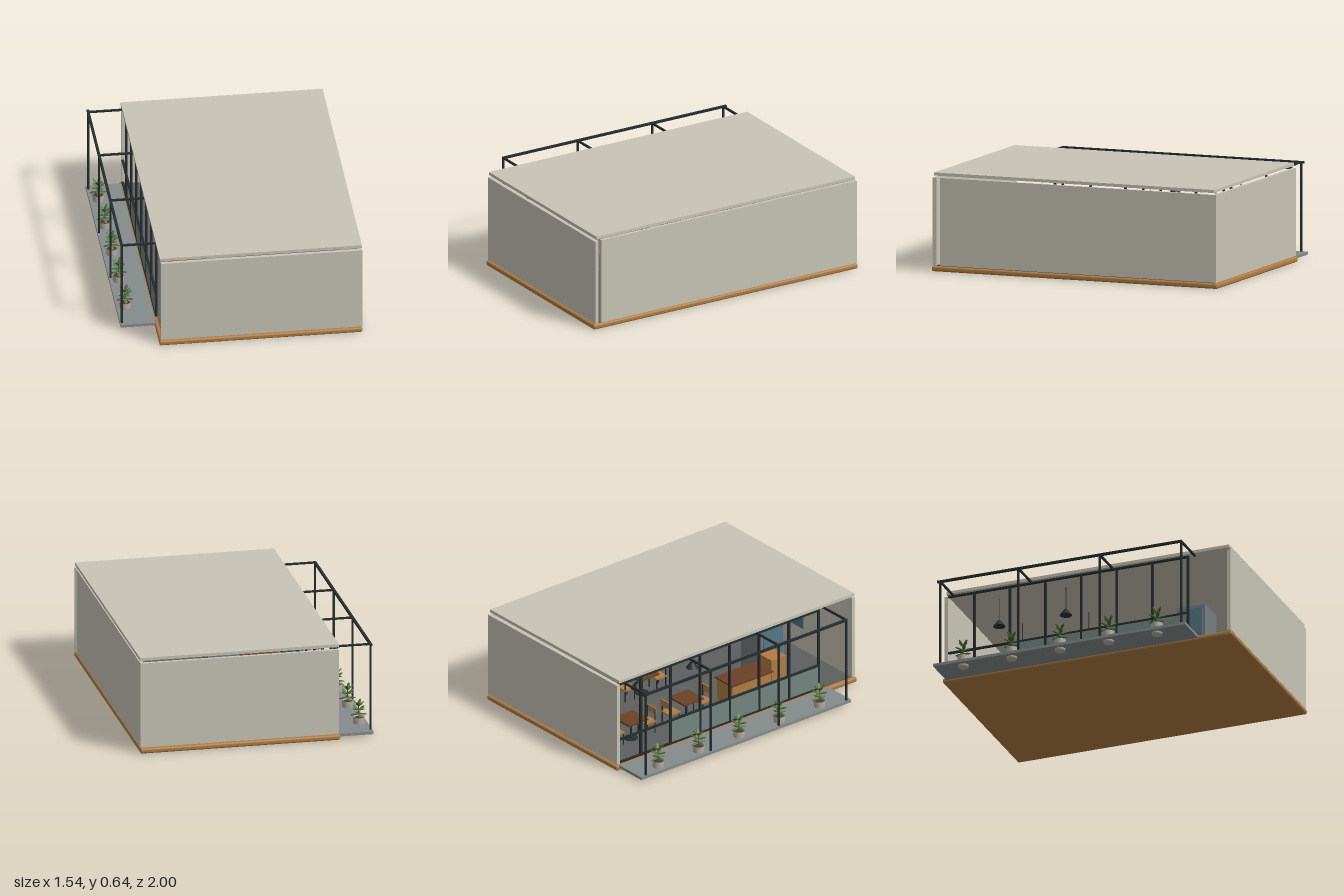
import * as THREE from 'three';
import { RoundedBoxGeometry } from 'three/addons/geometries/RoundedBoxGeometry.js';

const mat = (color) => new THREE.MeshStandardMaterial({ color });
const M = {
  wall: mat(0xc8c4b6), wood: mat(0xb07c42), steel: mat(0x262c2e), slab: mat(0x858c8c), floor: mat(0x5d5f5e),
  glass: mat(0x75857f), pot: mat(0xb8aea2), soil: mat(0x4a3a2c), leaf: mat(0x5f7f45), leafDark: mat(0x47643a),
  walnut: mat(0x6b4126), blue: mat(0x557785), grey: mat(0x777d7f),
};

function add(parent, name, geometry, material, x = 0, y = 0, z = 0) {
  const m = new THREE.Mesh(geometry, material);
  m.name = name;
  m.position.set(x, y, z);
  parent.add(m);
  return m;
}

// Box given by its lower and upper limits on each axis
function block(parent, name, material, [x0, x1], [y0, y1], [z0, z1]) {
  return add(parent, name, new THREE.BoxGeometry(x1 - x0, y1 - y0, z1 - z0), material,
    (x0 + x1) / 2, (y0 + y1) / 2, (z0 + z1) / 2);
}

function group(parent, name, x = 0, y = 0, z = 0, turn = 0) {
  const g = new THREE.Group();
  g.name = name;
  g.position.set(x, y, z);
  g.rotation.y = turn;
  parent.add(g);
  return g;
}

function pottedPlant(parent, x, z) {
  const g = group(parent, 'pottedPlant', x, 0, z);
  const profile = [[0, 0], [0.031, 0], [0.034, 0.012], [0.039, 0.078], [0.035, 0.078], [0.034, 0.068], [0, 0.068]]
    .map(([r, y]) => new THREE.Vector2(r, y));
  add(g, 'pot', new THREE.LatheGeometry(profile, 24), M.pot);
  add(g, 'soil', new THREE.CylinderGeometry(0.034, 0.034, 0.004, 20), M.soil, 0, 0.068, 0);
  add(g, 'stem', new THREE.CylinderGeometry(0.003, 0.004, 0.1, 8), M.leafDark, 0, 0.115, 0);
  for (let i = 0; i < 12; i++) {
    const tier = Math.floor(i / 4);
    const leaf = new THREE.SphereGeometry(1, 10, 6);
    leaf.scale(0.027, 0.004, 0.011);
    leaf.translate(0.029, 0, 0);
    leaf.rotateZ([-0.15, 0.35, 0.85][tier]);
    leaf.rotateY(i * Math.PI / 2 + tier * 0.55);
    add(g, 'leaf', leaf, i % 2 ? M.leaf : M.leafDark, 0, 0.1 + tier * 0.023, 0);
  }
}

function chair(parent, x, z, turn) {
  const g = group(parent, 'chair', x, 0.04, z, turn);
  block(g, 'chairSeat', M.wood, [-0.045, 0.045], [0.08, 0.09], [-0.045, 0.045]);
  block(g, 'chairBack', M.wood, [-0.045, 0.045], [0.13, 0.175], [-0.047, -0.039]);
  for (const sx of [-1, 1]) for (const sz of [-1, 1]) {
    const h = sz < 0 ? 0.17 : 0.08;
    add(g, 'chairLeg', new THREE.CylinderGeometry(0.004, 0.004, h, 8), M.steel, sx * 0.038, h / 2, sz * 0.038);
  }
}

function table(parent, x, z) {
  const g = group(parent, 'table', x, 0.04, z);
  block(g, 'tableTop', M.walnut, [-0.08, 0.08], [0.135, 0.147], [-0.08, 0.08]);
  add(g, 'tableStem', new THREE.CylinderGeometry(0.007, 0.007, 0.135, 10), M.steel, 0, 0.068, 0);
  add(g, 'tableFoot', new THREE.CylinderGeometry(0.045, 0.045, 0.006, 16), M.steel, 0, 0.003, 0);
}

export function createModel() {
  const model = new THREE.Group();
  model.name = 'pavilion';

  // Timber base, floor, walls on three sides and roof raised on a narrow gap
  add(model, 'timberBase', new RoundedBoxGeometry(1.315, 0.034, 2, 3, 0.012), M.wood, 0.1125, 0.017, 0);
  block(model, 'floor', M.floor, [-0.52, 0.75], [0.033, 0.041], [-0.97, 0.97]);
  block(model, 'frontWall', M.wall, [-0.535, 0.77], [0.04, 0.61], [0.965, 0.99]);
  block(model, 'backWall', M.wall, [-0.535, 0.75], [0.04, 0.61], [-0.99, -0.965]);
  block(model, 'leftWall', M.wall, [0.745, 0.768], [0.04, 0.61], [-0.99, 0.94]);
  block(model, 'roof', M.wall, [-0.54, 0.768], [0.623, 0.643], [-0.975, 0.98]);

  // Glazed frame on the open side, with tinted lower panes
  const facade = group(model, 'facade');
  const X = [-0.535, -0.52];
  const first = -0.785, step = 0.246;
  for (let i = 0; i < 7; i++) {
    const z = first + i * step;
    block(facade, 'mullion', M.steel, X, [0.04, 0.615], [z - 0.007, z + 0.007]);
    if (i > 0 && i < 6)
      block(facade, 'lowerPane', M.glass, [-0.53, -0.525], [0.05, 0.205], [z + 0.007, z + step - 0.007]);
  }
  for (const y of [0.041, 0.205, 0.603])
    block(facade, 'facadeRail', M.steel, X, [y, y + 0.012], [-0.965, 0.7]);

  // Terrace with a steel pergola and a row of plants
  const terrace = group(model, 'terrace');
  block(terrace, 'terraceSlab', M.slab, [-0.767, -0.54], [0.016, 0.035], [-0.975, 0.767]);
  for (const z of [-0.93, -0.39, 0.173, 0.735]) {
    block(terrace, 'pergolaPost', M.steel, [-0.762, -0.75], [0.035, 0.62], [z - 0.006, z + 0.006]);
    block(terrace, 'pergolaBeam', M.steel, [-0.762, -0.515], [0.608, 0.62], [z - 0.006, z + 0.006]);
  }
  block(terrace, 'pergolaRail', M.steel, [-0.764, -0.748], [0.607, 0.621], [-0.95, 0.741]);
  for (let i = 0; i < 5; i++) pottedPlant(terrace, -0.71, -0.79 + i * 0.335);

  // Dining furniture
  const interior = group(model, 'interior');
  for (const x of [-0.3, 0.15]) for (const z of [-0.68, -0.22]) {
    table(interior, x, z);
    chair(interior, x, z - 0.13, 0);
    chair(interior, x, z + 0.13, Math.PI);
  }

  // Serving counter, cabinet, tall cooler and blue panel
  block(interior, 'counter', M.wood, [-0.38, -0.22], [0.04, 0.19], [0.1, 0.42]);
  block(interior, 'counterTop', M.walnut, [-0.39, -0.21], [0.19, 0.2], [0.09, 0.43]);
  block(interior, 'cabinet', M.wood, [-0.36, -0.22], [0.04, 0.26], [0.44, 0.56]);
  block(interior, 'cooler', M.grey, [-0.2, 0], [0.04, 0.42], [0.48, 0.68]);
  block(interior, 'coolerDoor', M.blue, [-0.205, -0.2], [0.08, 0.4], [0.5, 0.66]);
  block(interior, 'wallPanel', M.blue, [-0.05, 0.45], [0.2, 0.48], [0.955, 0.965]);

  // Hanging lamps
  for (const x of [-0.36, 0.045]) for (const z of [-0.68, -0.22]) {
    add(interior, 'lampCord', new THREE.CylinderGeometry(0.003, 0.003, 0.16, 6), M.steel, x, 0.543, z);
    const shade = add(interior, 'lampShade', new THREE.CylinderGeometry(0.012, 0.04, 0.04, 20, 1, true), M.steel.clone(), x, 0.445, z);
    shade.material.side = THREE.DoubleSide;
  }
  return model;
}
